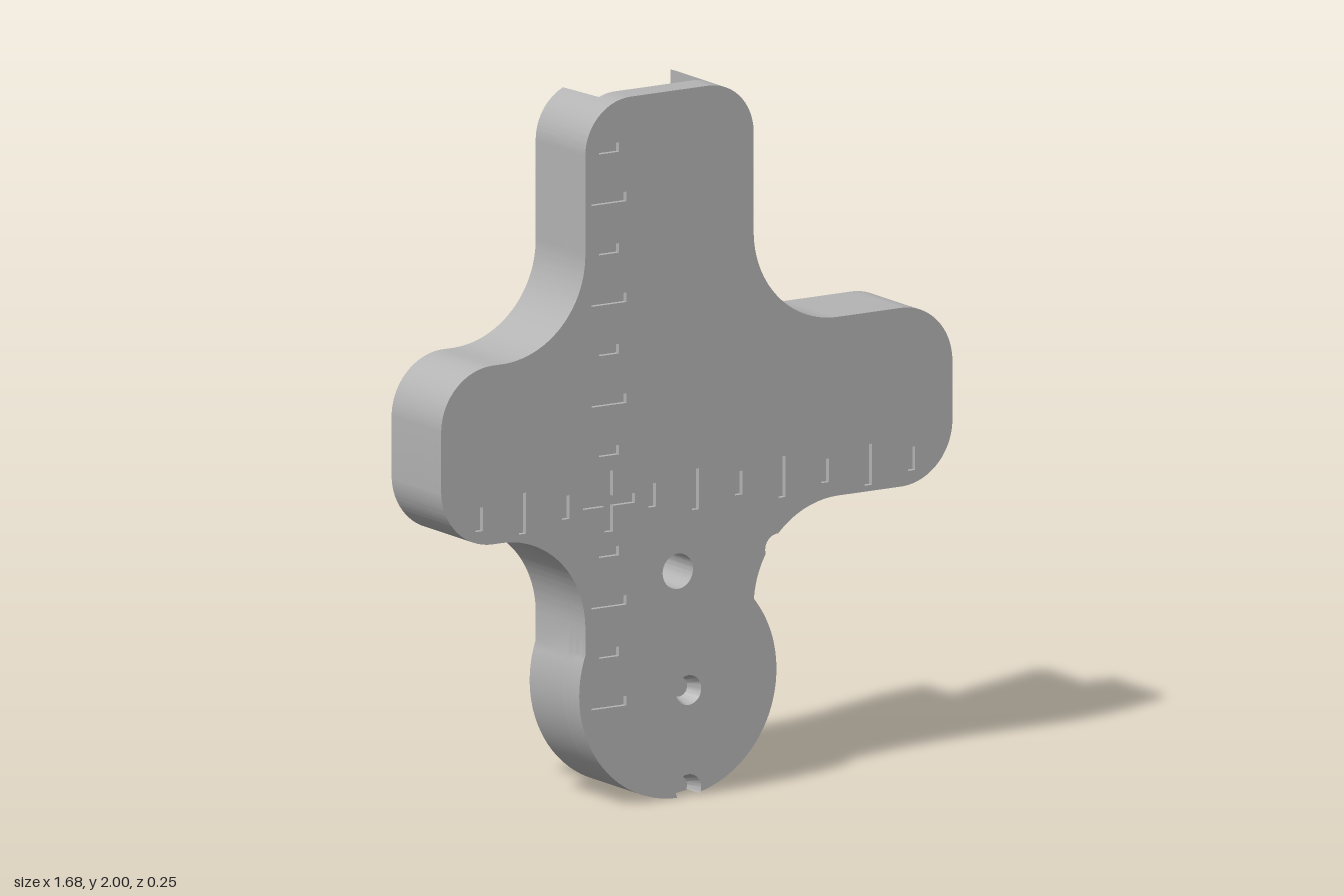
import * as THREE from 'three';
import { toCreasedNormals } from 'three/addons/utils/BufferGeometryUtils.js';

const PI = Math.PI;
const HUB = { x: -0.065, y: 0.325, r: 0.325 };
const FILLET = { x: 0.465, y: 0.51, r: 0.28 };
const HOLE_R = 0.042;
const HUB_NOTCH = { x: -0.03, y: 0.02 };
const SIDE_NOTCH = { x: 0.265, y: 0.665 };
const CHANNEL = { x: -0.28, y: 0.88, innerX: 0.075, innerY: 1.185 };
const BACK = -0.125, FLOOR = 0.045, FRONT = 0.125;

// Arc that is interrupted by a round notch when one is given
function notchedArc(s, c, a0, a1, cw, notch) {
  if (!notch) return s.absarc(c.x, c.y, c.r, a0, a1, cw);
  const dx = notch.x - c.x, dy = notch.y - c.y, d = Math.hypot(dx, dy);
  let a = Math.atan2(dy, dx);
  if (a < Math.min(a0, a1)) a += 2 * PI;
  const b = Math.acos((c.r * c.r + d * d - HOLE_R * HOLE_R) / (2 * c.r * d)) * (cw ? -1 : 1);
  const angleOnNotch = (t) =>
    Math.atan2(c.y + c.r * Math.sin(t) - notch.y, c.x + c.r * Math.cos(t) - notch.x);
  s.absarc(c.x, c.y, c.r, a0, a - b, cw);
  s.absarc(notch.x, notch.y, HOLE_R, angleOnNotch(a - b), angleOnNotch(a + b), true);
  s.absarc(c.x, c.y, c.r, a + b, a1, cw);
}

// Tower's -x side, -x arm, round hub and underside of the +x arm
function lowerOutline(s, startAngle, endAngle, notched) {
  s.absarc(-0.22, 1.85, 0.15, startAngle, PI, false);
  s.absarc(-0.645, 1.57, 0.275, 0, -PI / 2, true);
  s.absarc(-0.675, 1.125, 0.17, PI / 2, PI, false);
  s.absarc(-0.675, 0.96, 0.17, PI, 1.5 * PI, false);
  s.absarc(-0.645, 0.515, 0.275, PI / 2, 0, true);
  notchedArc(s, HUB, 2.79, 2 * PI + 0.693, false, notched && HUB_NOTCH);
  notchedArc(s, FILLET, PI - 0.082, PI / 2, true, notched && SIDE_NOTCH);
  s.absarc(0.67, 0.96, 0.17, -PI / 2, endAngle, false);
}

// Top of the +x arm and the tower's +x side
function upperOutline(s, startAngle, endAngle) {
  s.absarc(0.67, 1.125, 0.17, startAngle, PI / 2, false);
  s.absarc(0.46, 1.57, 0.275, -PI / 2, -PI, true);
  s.absarc(0.035, 1.85, 0.15, 0, endAngle, false);
}

function fullShape(notched) {
  const s = new THREE.Shape();
  lowerOutline(s, PI / 2, 0, notched);
  upperOutline(s, 0, PI / 2);
  s.holes.push(circle(-0.065, 0.64, 0.05));
  return s;
}

function circle(x, y, r) {
  return new THREE.Path().absarc(x, y, r, 0, 2 * PI, false);
}

function polygon(points) {
  return new THREE.Path(points.map(([x, y]) => new THREE.Vector2(x, y)));
}

function rect(x, y, w, h) {
  const a = w / 2, b = h / 2;
  return polygon([[x - a, y - b], [x + a, y - b], [x + a, y + b], [x - a, y + b]]);
}

function slab(shape, z0, z1) {
  const g = new THREE.ExtrudeGeometry(shape, { depth: z1 - z0, bevelEnabled: false, curveSegments: 28 });
  return g.translate(0, 0, z0);
}

export function createModel() {
  const group = new THREE.Group();
  const grey = new THREE.MeshStandardMaterial({ color: 0xb4b4b4, side: THREE.DoubleSide });
  grey.name = 'grey';
  const add = (name, geometry) => {
    const mesh = new THREE.Mesh(toCreasedNormals(geometry, 0.5), grey);
    mesh.name = name;
    group.add(mesh);
  };

  // Front face with engraved scale marks around a cross
  const face = fullShape(true);
  const cx = -0.292, cy = 0.865, step = 0.1425;
  for (let i = -4; i <= 7; i++) {
    if (i === 0) continue;
    const length = i % 2 ? 0.067 : 0.116;
    face.holes.push(rect(cx, cy + i * step, length, 0.027));
    if (i > -4) face.holes.push(rect(cx + i * step, cy, 0.024, length));
  }
  const w = 0.014, l = 0.086;
  face.holes.push(polygon([
    [-l, -w], [-w, -w], [-w, -l], [w, -l], [w, -w], [l, -w],
    [l, w], [w, w], [w, l], [-w, l], [-w, w], [-l, w],
  ].map(([x, y]) => [cx + x, cy + y])));
  face.holes.push(circle(-0.03, 0.3, HOLE_R));
  add('engravedFace', slab(face, 0.11, FRONT));

  // Plate behind the marks, with the blind holes, then the solid plate
  const holed = fullShape(true);
  holed.holes.push(circle(-0.03, 0.3, HOLE_R));
  add('holedPlate', slab(holed, 0.075, 0.11));
  add('channelFloorPlate', slab(fullShape(false), FLOOR, 0.075));

  // Tapered seats in the blind holes
  const seat = (name, x, y, start, sweep) => {
    const g = new THREE.CylinderGeometry(HOLE_R, 0.028, 0.05, 32, 1, true, start, sweep);
    add(name, g.rotateX(PI / 2).translate(x, y, 0.1));
  };
  seat('hubHoleSeat', -0.03, 0.3, 0, 2 * PI);
  seat('edgeHoleSeat', HUB_NOTCH.x, HUB_NOTCH.y, 1.15, 4.0);

  // Back body below and beside the channel, its lower wall serrated
  const body = new THREE.Shape();
  lowerOutline(body, Math.acos(-0.4), Math.asin(-0.08 / 0.17), false);
  const teeth = 70, x0 = 0.82, pitch = (x0 - CHANNEL.x) / teeth;
  for (let i = 0; i < teeth; i++) {
    body.lineTo(x0 - (i + 0.5) * pitch, CHANNEL.y - 0.008);
    body.lineTo(x0 - (i + 1) * pitch, CHANNEL.y);
  }
  body.holes.push(circle(-0.065, 0.64, 0.05), circle(HUB.x, HUB.y, 0.226));
  const bodyGeometry = slab(body, BACK, FLOOR);
  // Both outer channel walls lean inward toward the floor
  const p = bodyGeometry.attributes.position;
  for (let i = 0; i < p.count; i++) {
    if (p.getZ(i) < 0) continue;
    const x = p.getX(i), y = p.getY(i);
    const onSide = Math.abs(x - CHANNEL.x) < 1e-4 && y > 0.87;
    const onTeeth = x > CHANNEL.x - 1e-4 && y > 0.871 && y < 0.8801 && x < 0.821;
    if (onSide) p.setX(i, x + 0.015);
    if (onTeeth) p.setY(i, y + 0.018);
  }
  add('backBody', bodyGeometry);

  // Back block inside the corner of the channel
  const block = new THREE.Shape();
  block.moveTo(0.175, CHANNEL.innerY);
  upperOutline(block, Math.asin(0.06 / 0.17), Math.acos(0.04 / 0.15));
  block.absarc(CHANNEL.innerX + 0.1, CHANNEL.innerY + 0.1, 0.1, PI, 1.5 * PI, false);
  add('backCornerBlock', slab(block, BACK, FLOOR));

  // Long rib on the upright channel wall
  add('channelRib', new THREE.BoxGeometry(0.012, 1.09, 0.06).translate(-0.273, 1.435, -0.035));

  // Round boss and pin in the hub pocket
  const disc = (name, r, z0, z1) => add(name, new THREE.CylinderGeometry(r, r, z1 - z0, 48)
    .rotateX(PI / 2).translate(HUB.x, HUB.y, (z0 + z1) / 2));
  disc('pocketBoss', 0.158, 0, FLOOR);
  disc('pocketPin', 0.037, -0.075, 0);

  return group;
}
